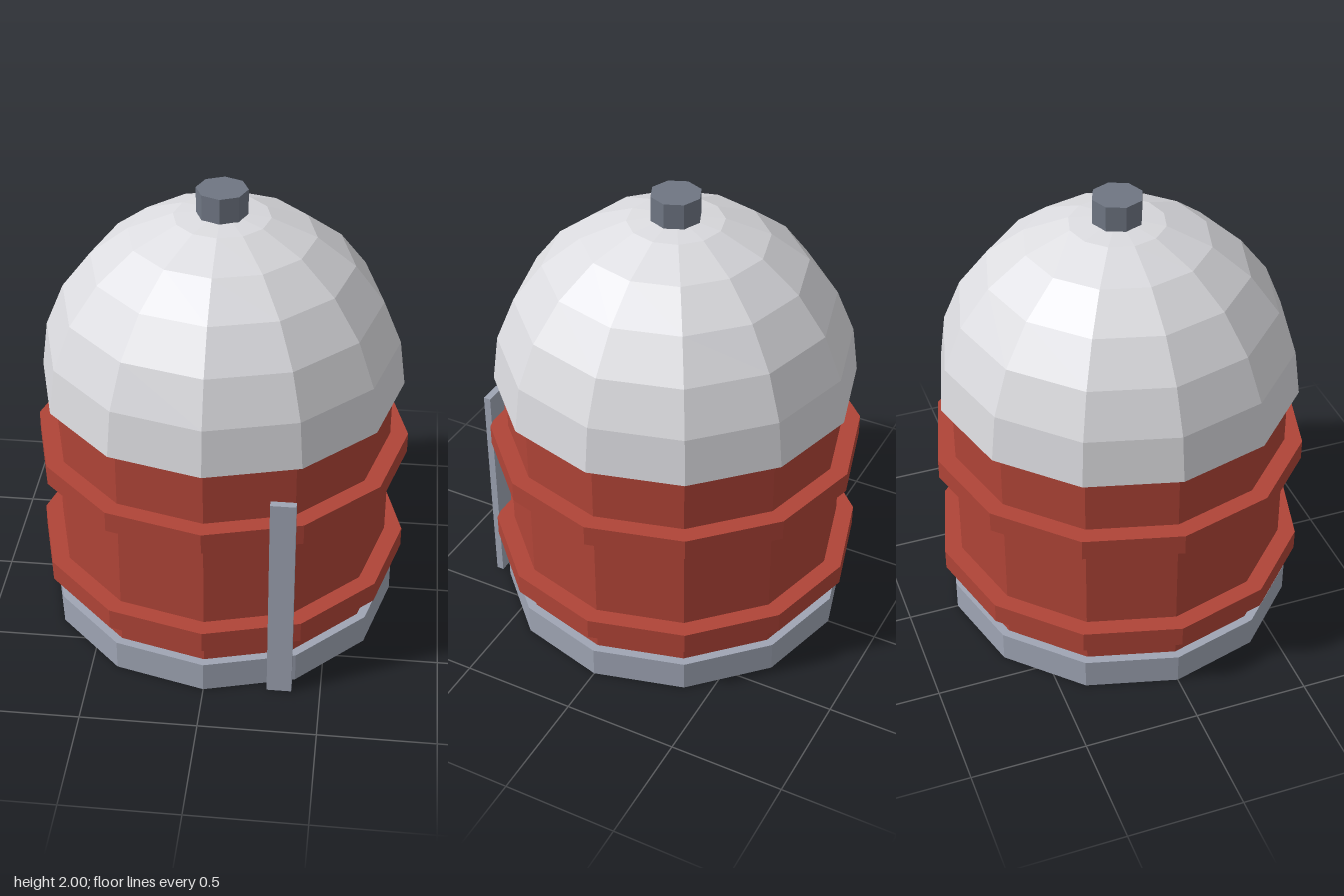
import * as THREE from 'three';

const material = (name, color) => {
  const m = new THREE.MeshStandardMaterial({ color, flatShading: true });
  m.name = name;
  return m;
};

export function createModel() {
  const red = material('red paint', 0xb04437);
  const white = material('pale dome', 0xdbdbdf);
  const steel = material('light steel', 0x9fa5b4);
  const darkSteel = material('dark steel', 0x6f7683);

  const model = new THREE.Group();
  model.name = 'domedTank';

  const add = (name, geometry, mat, x = 0, y = 0, z = 0) => {
    const mesh = new THREE.Mesh(geometry, mat);
    mesh.name = name;
    mesh.position.set(x, y, z);
    model.add(mesh);
  };

  // Upright prism between two heights
  const drum = (name, radius, y0, y1, mat, sides = 12) =>
    add(name, new THREE.CylinderGeometry(radius, radius, y1 - y0, sides), mat, 0, (y0 + y1) / 2, 0);

  // Base, wall and the two raised bands
  drum('base', 0.776, 0, 0.136, steel);
  drum('wall', 0.737, 0.02, 1.13, red);
  drum('lowerBand', 0.815, 0.25, 0.343, red);
  drum('upperBand', 0.815, 0.768, 0.86, red);

  // Faceted half-sphere dome with a closed underside
  const radius = 0.784;
  const profile = [new THREE.Vector2(0, 0)];
  for (let i = 0; i <= 6; i++) {
    const a = (i / 6) * Math.PI / 2;
    profile.push(new THREE.Vector2(i === 6 ? 0 : radius * Math.cos(a), radius * Math.sin(a)));
  }
  add('dome', new THREE.LatheGeometry(profile, 12), white, 0, 1.12, 0);

  // Cap on the dome
  drum('topCap', 0.108, 1.86, 2, darkSteel, 8);

  // Upright strip on the front
  add('frontStrip', new THREE.BoxGeometry(0.106, 0.98, 0.032), steel, 0.324, 0.49, 0.734);

  return model;
}
